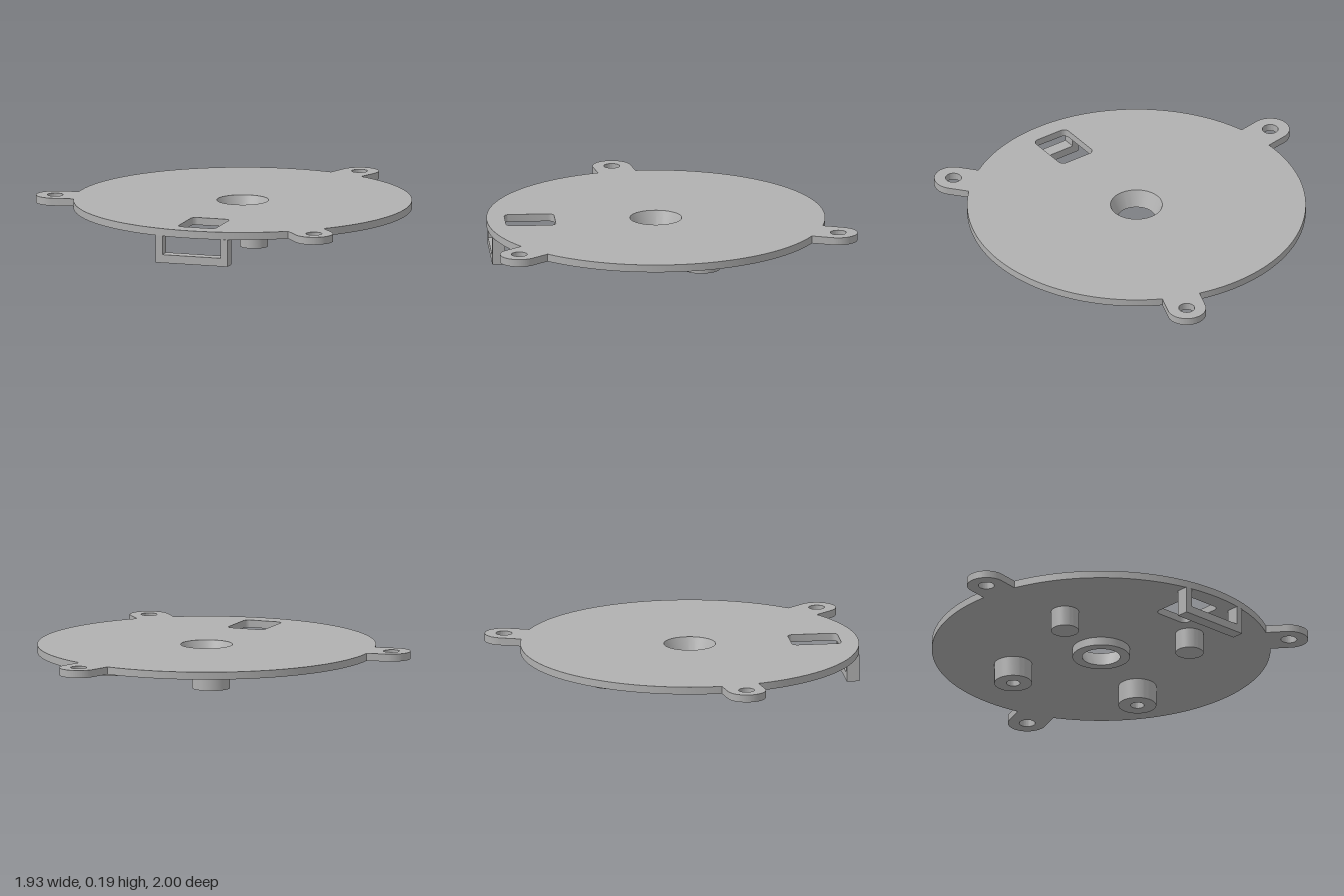
import * as THREE from 'three';
import { toCreasedNormals } from 'three/addons/utils/BufferGeometryUtils.js';

const CX = 0.045, CZ = 0.1;        // disc axis
const TOP = 0.185, UNDER = 0.145;  // plate faces
const POST_BOTTOM = 0.035;

export function createModel() {
  const group = new THREE.Group();
  const grey = new THREE.MeshStandardMaterial({ color: 0xb0b0b0 });
  grey.name = 'light grey';

  const add = (name, geometry, x = CX, y = 0, z = CZ) => {
    const mesh = new THREE.Mesh(toCreasedNormals(geometry, 0.5), grey);
    mesh.name = name;
    mesh.position.set(x, y, z);
    group.add(mesh);
    return mesh;
  };
  const circle = (x, y, r) => new THREE.Path().absarc(x, y, r, 0, Math.PI * 2, true);

  // Plate outline: disc arcs joined by three rounded ears (shape y becomes world z)
  const R = 0.895, earR = 0.102;
  const ears = [[0.095, -1.0], [-0.912, 0.412], [0.815, 0.578]]
    .map(([x, z]) => ({ x, z, a: Math.atan2(z, x) }))
    .sort((p, q) => p.a - q.a);
  const half = Math.asin(earR / R);
  const plate = new THREE.Shape();
  ears.forEach((ear, i) => {
    const next = i < 2 ? ears[i + 1].a : ears[0].a + Math.PI * 2;
    plate.absarc(ear.x, ear.z, earR, ear.a - Math.PI / 2, ear.a + Math.PI / 2, false);
    plate.absarc(0, 0, R, ear.a + half, next - half, false);
    plate.holes.push(circle(ear.x, ear.z, 0.042));
  });
  plate.closePath();
  plate.holes.push(circle(0, 0, 0.15));

  // Rounded window, turned to face the disc axis
  const tilt = -0.253, w = 0.105, h = 0.132, r = 0.03;
  const windowPoints = [];
  [[1, 1, 0], [-1, 1, 1], [-1, -1, 2], [1, -1, 3]].forEach(([sx, sy, q]) => {
    for (let i = 0; i <= 6; i++) {
      const a = (q + i / 6) * Math.PI / 2;
      windowPoints.push(new THREE.Vector2(sx * (w - r) + r * Math.cos(a), sy * (h - r) + r * Math.sin(a))
        .rotateAround(new THREE.Vector2(), tilt).add(new THREE.Vector2(0.167, 0.645)));
    }
  });
  plate.holes.push(new THREE.Path(windowPoints));

  const plateGeometry = new THREE.ExtrudeGeometry(plate, { depth: TOP - UNDER, bevelEnabled: false, curveSegments: 48 });
  add('plate', plateGeometry.rotateX(Math.PI / 2), CX, TOP, CZ);

  // Lathe helper for turned parts
  const turned = (points) => new THREE.LatheGeometry(points.map(p => new THREE.Vector2(...p)), 64);

  // Central collar with a tapered bore
  add('centreCollar', turned([[0.1, 0.1], [0.152, 0.1], [0.152, TOP], [0.137, TOP], [0.1, 0.1]]));

  // Two hollow posts and two solid pegs under the plate
  [[0.39, -0.32], [-0.32, -0.387]].forEach(([x, z]) => add('hollowPost',
    turned([[0, UNDER - 0.005], [0.036, UNDER - 0.005], [0.036, POST_BOTTOM], [0.1, POST_BOTTOM], [0.1, UNDER]]), CX + x, 0, CZ + z));
  [[0.32, 0.39], [-0.39, 0.32]].forEach(([x, z]) => add('solidPeg',
    turned([[0, POST_BOTTOM], [0.074, POST_BOTTOM], [0.074, UNDER]]), CX + x, 0, CZ + z));

  // U-shaped bracket hanging below the rim
  const L = 0.2, bar = 0.038, floor = 0.044;
  const u = new THREE.Shape([[-L, 0], [L, 0], [L, UNDER], [L - bar, UNDER], [L - bar, floor],
    [bar - L, floor], [bar - L, UNDER], [-L, UNDER]].map(p => new THREE.Vector2(...p)));
  const bracket = new THREE.ExtrudeGeometry(u, { depth: 0.067, bevelEnabled: false }).translate(0, 0, -0.0335);
  add('bracket', bracket, 0.2575, 0, 0.9175).rotation.y = -tilt;

  return group;
}
